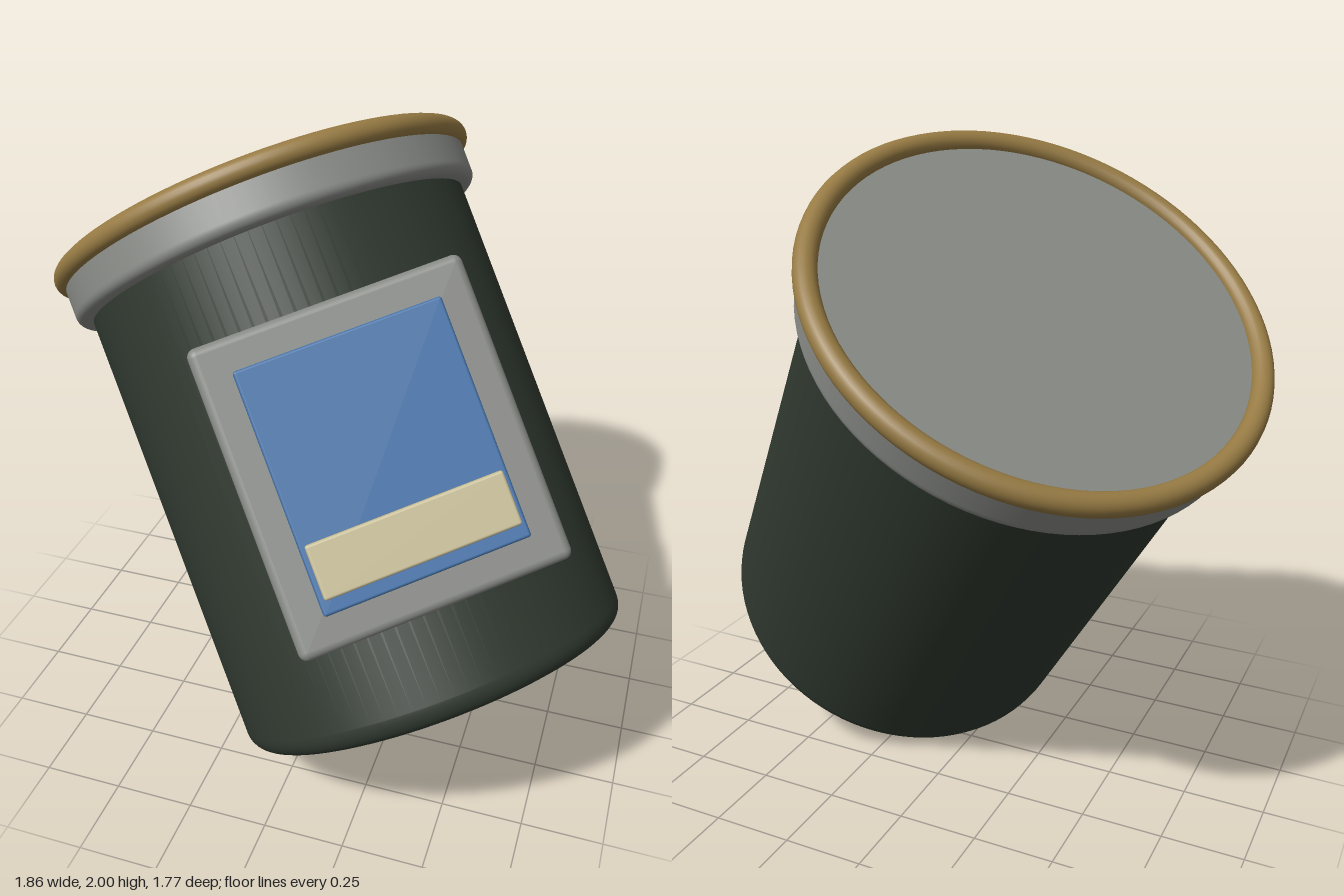
import * as THREE from 'three';
import { RoundedBoxGeometry } from 'three/addons/geometries/RoundedBoxGeometry.js';

const paint = (name, color) => {
  const m = new THREE.MeshStandardMaterial({ color });
  m.name = name;
  return m;
};

// Solid of revolution with rounded lower and upper rims
function roundedDrum(radius, bottom, top, lowFillet, highFillet) {
  const pts = [new THREE.Vector2(0, bottom), new THREE.Vector2(radius - lowFillet - 0.004, bottom)];
  const arc = (fillet, cy, from) => {
    for (let i = 0; i <= 8; i++) {
      const a = from + (i / 8) * Math.PI / 2;
      pts.push(new THREE.Vector2(radius - fillet + fillet * Math.cos(a), cy + fillet * Math.sin(a)));
    }
  };
  arc(lowFillet, bottom + lowFillet, -Math.PI / 2);
  pts.push(new THREE.Vector2(radius, bottom + lowFillet + 0.004));
  pts.push(new THREE.Vector2(radius, top - highFillet - 0.004));
  arc(highFillet, top - highFillet, 0);
  pts.push(new THREE.Vector2(radius - highFillet - 0.004, top), new THREE.Vector2(0, top));
  return new THREE.LatheGeometry(pts, 96);
}

export function createModel() {
  const model = new THREE.Group();
  model.name = 'tiltedTin';
  const green = paint('dark green', 0x2f382f);
  const grey = paint('grey metal', 0x888a86);
  const blue = paint('blue', 0x4472a8);
  const brass = paint('brass', 0x967a43);
  const cream = paint('cream', 0xc8be98);

  const tin = new THREE.Group();
  tin.name = 'tin';
  const add = (name, geometry, material, y = 0, z = 0) => {
    const mesh = new THREE.Mesh(geometry, material);
    mesh.name = name;
    mesh.position.set(0, y, z);
    tin.add(mesh);
    return mesh;
  };

  // Body, lid and brass rim ring
  add('body', roundedDrum(0.61, 0, 1.5, 0.06, 0.02), green);
  add('lid', roundedDrum(0.655, 1.4, 1.548, 0.03, 0.01), grey);
  add('rimRing', new THREE.TorusGeometry(0.647, 0.033, 20, 96), brass, 1.546).rotation.x = Math.PI / 2;

  // Layered label on the front: frame, panel, strip
  add('labelFrame', new RoundedBoxGeometry(0.77, 0.86, 0.06, 4, 0.025), grey, 0.724, 0.62);
  add('labelPanel', new RoundedBoxGeometry(0.58, 0.67, 0.04, 3, 0.008), blue, 0.724, 0.65);
  add('labelStrip', new RoundedBoxGeometry(0.55, 0.15, 0.04, 3, 0.008), cream, 0.504, 0.67);

  // Lean the tin: its axis, label normal and label width direction
  const axis = new THREE.Vector3(-0.488, 0.795, -0.361).normalize();
  const normal = new THREE.Vector3(0.346, 0.556, 0.756);
  const side = new THREE.Vector3().crossVectors(axis, normal).normalize();
  normal.crossVectors(side, axis);
  tin.quaternion.setFromRotationMatrix(new THREE.Matrix4().makeBasis(side, axis, normal));
  tin.position.set(0.419, 0.345, 0.308);
  model.add(tin);
  return model;
}
